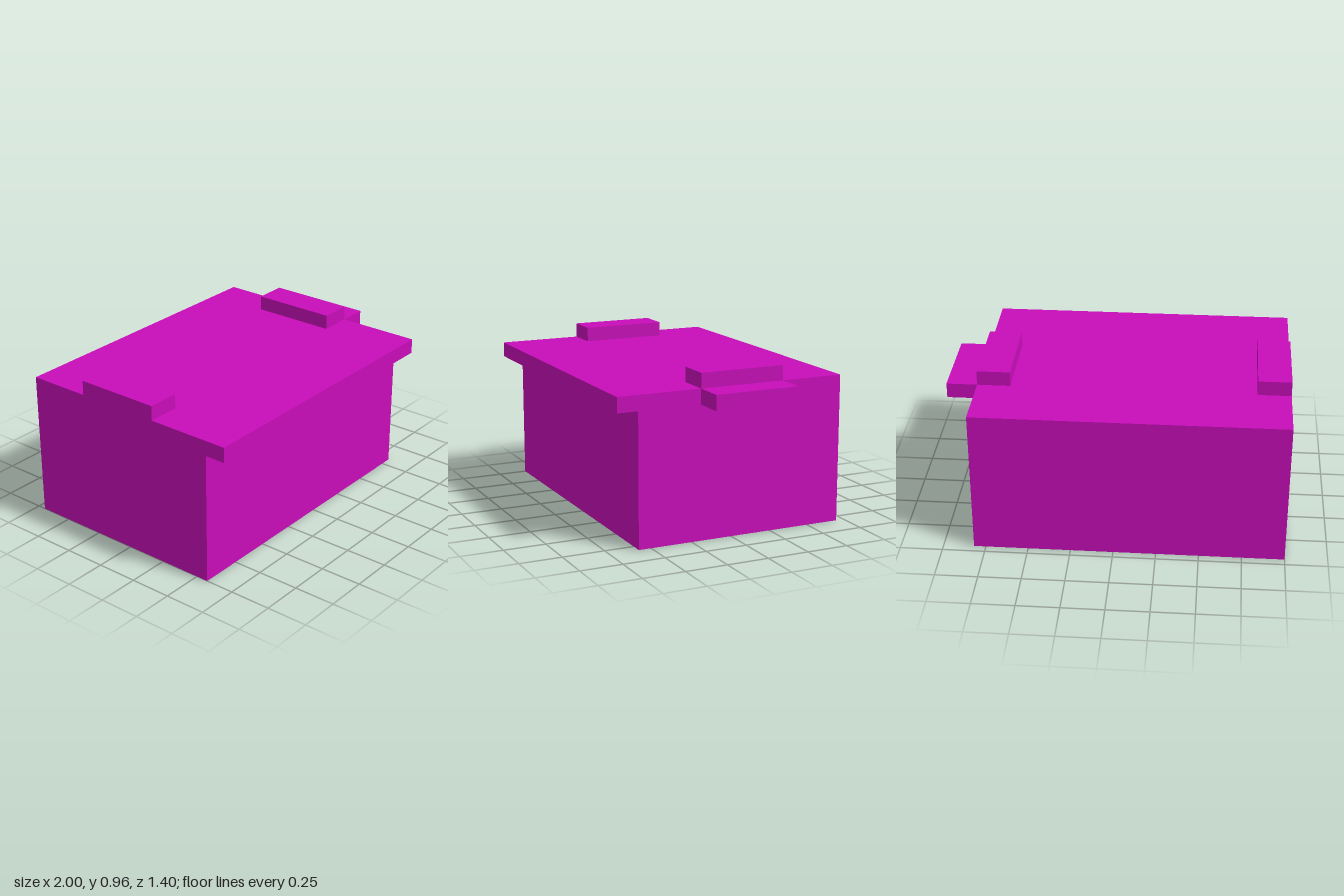
import * as THREE from 'three';

export function createModel() {
  const model = new THREE.Group();
  const magenta = new THREE.MeshStandardMaterial({ color: 0xc80db9 });
  magenta.name = 'magenta';

  const add = (name, geometry) => {
    const mesh = new THREE.Mesh(geometry, magenta);
    mesh.name = name;
    model.add(mesh);
    return mesh;
  };

  // Body with front lip: side profile (z, y) extruded across the width
  const profile = new THREE.Shape([
    [-0.7, 0], [0.575, 0], [0.575, 0.785], [0.7, 0.785], [0.7, 0.875], [-0.7, 0.875],
  ].map(([z, y]) => new THREE.Vector2(z, y)));
  const body = new THREE.ExtrudeGeometry(profile, { depth: 1.82, bevelEnabled: false });
  body.rotateY(-Math.PI / 2).translate(0.82, 0, 0);
  add('body', body);

  // Small blocks sharing the same depth, given by x and y ranges
  const block = (name, x0, x1, y0, y1) =>
    add(name, new THREE.BoxGeometry(x1 - x0, y1 - y0, 0.515))
      .position.set((x0 + x1) / 2, (y0 + y1) / 2, -0.0625);

  block('rightTopBlock', -1, -0.805, 0.875, 0.963);
  block('leftTopBlock', 0.625, 0.82, 0.875, 0.963);
  block('leftSideTab', 0.82, 1, 0.785, 0.875);

  return model;
}
